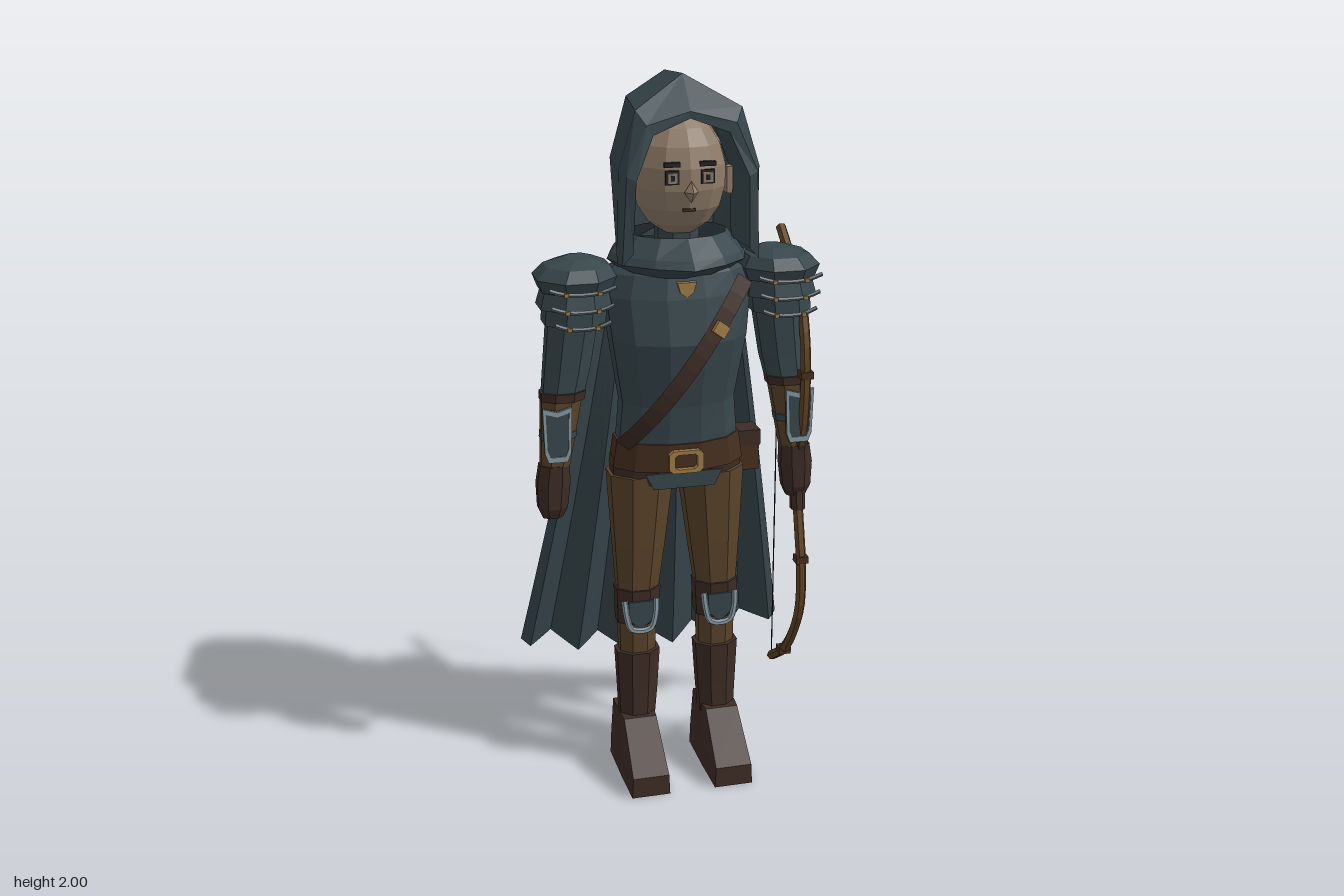
import * as THREE from 'three';

const mat = (name, color, double) => {
  const m = new THREE.MeshStandardMaterial({ color });
  m.name = name;
  if (double) m.side = THREE.DoubleSide;
  return m;
};

export function createModel() {
  const slate = mat('slate cloth', 0x38474c, true);
  const leather = mat('dark leather', 0x3e2c24, true);
  const tan = mat('tan trousers', 0x5a442a);
  const belt = mat('belt leather', 0x48301f);
  const wood = mat('bow wood', 0x614425);
  const skin = mat('skin', 0x907d6a);
  const steel = mat('light steel', 0x8699a2);
  const dullSteel = mat('dull steel', 0x626d72);
  const gold = mat('brass', 0xa07c48);
  const ink = mat('dark detail', 0x202224);

  const root = new THREE.Group();
  // Adds a faceted mesh
  const add = (name, geo, material, x = 0, y = 0, z = 0) => {
    const g = geo.index ? geo.toNonIndexed() : geo;
    g.computeVertexNormals();
    const m = new THREE.Mesh(g, material);
    m.name = name;
    m.position.set(x, y, z);
    root.add(m);
    return m;
  };
  const box = (name, material, w, h, d, x, y, z) => add(name, new THREE.BoxGeometry(w, h, d), material, x, y, z);

  // Skins a list of equal-length point rows
  const skinRows = (rows, closed, caps) => {
    const n = rows[0].length, idx = [];
    for (let i = 0; i < rows.length - 1; i++)
      for (let j = 0; j < (closed ? n : n - 1); j++) {
        const k = (j + 1) % n, a = i * n + j, b = i * n + k;
        idx.push(a, b, b + n, a, b + n, a + n);
      }
    if (caps) {
      const top = (rows.length - 1) * n;
      for (let j = 1; j < n - 1; j++) idx.push(0, j + 1, j, top, top + j, top + j + 1);
    }
    const g = new THREE.BufferGeometry();
    g.setAttribute('position', new THREE.Float32BufferAttribute(rows.flat(2), 3));
    g.setIndex(idx);
    return g;
  };
  // Oval stack: each entry is [y, rx, rz, cx, cz], from bottom to top
  const stack = (list, n = 8) => skinRows(list.map(([y, rx, rz, cx = 0, cz = 0.1]) =>
    Array.from({ length: n }, (_, j) => {
      const a = ((j + 0.5) / n) * Math.PI * 2;
      return [cx + rx * Math.sin(a), y, cz + rz * Math.cos(a)];
    })), true, true);
  const tube = (pts, r, seg = 16, sides = 6) => new THREE.TubeGeometry(
    new THREE.CatmullRomCurve3(pts.map(p => new THREE.Vector3(...p))), seg, r, sides);
  const plate = (pts, depth, hole) => {
    const s = new THREE.Shape(pts.map(p => new THREE.Vector2(...p)));
    if (hole) s.holes.push(new THREE.Path(pts.map(([x, y]) => new THREE.Vector2(x * hole, y * hole))));
    return new THREE.ExtrudeGeometry(s, { depth, bevelEnabled: false });
  };

  // Torso, hips and belt
  add('torso', stack([[0.95, 0.175, 0.098], [1.03, 0.17, 0.103], [1.12, 0.162, 0.11], [1.3, 0.192, 0.13, 0, 0.11],
    [1.42, 0.205, 0.117], [1.48, 0.185, 0.1], [1.54, 0.1, 0.08]], 12), slate);
  add('hips', stack([[0.885, 0.187, 0.092, 0, 0.088], [0.96, 0.187, 0.1, 0, 0.09]], 12), leather);
  add('belt', stack([[0.935, 0.19, 0.11, 0, 0.095], [1.015, 0.178, 0.11, 0, 0.097]], 12), belt);
  add('tunicFlap', plate([[-0.085, 0], [0.085, 0], [0.108, 0.045], [-0.108, 0.045]], 0.008), slate, 0, 0.885, 0.184);
  add('buckle', plate([[-0.048, -0.022], [-0.036, -0.032], [0.036, -0.032], [0.048, -0.022],
    [0.048, 0.022], [0.036, 0.032], [-0.036, 0.032], [-0.048, 0.022]], 0.014, 0.65), gold, 0, 0.968, 0.203);
  box('pouch', belt, 0.062, 0.11, 0.065, 0.213, 0.935, 0.055);
  box('pouchFlap', leather, 0.068, 0.045, 0.072, 0.213, 0.975, 0.055);

  // Shoulder strap across the chest
  const strapRows = [-0.024, 0.024].map(o => Array.from({ length: 13 }, (_, i) => {
    const t = i / 12, x = -0.165 + 0.335 * t, y = 1.01 + 0.45 * t;
    const rx = 0.185 + 0.03 * t, rz = 0.119 + 0.021 * Math.sin(t * Math.PI);
    return [x - o * 0.8, y + o * 0.6, 0.104 + rz * Math.sqrt(1 - (x / rx) ** 2)];
  }));
  add('chestStrap', skinRows(strapRows, false), leather);
  const clasp = box('strapClasp', gold, 0.034, 0.044, 0.01, 0.088, 1.338, 0.232);
  clasp.rotation.set(0, 0.3, 0.93);
  add('brooch', plate([[0, -0.025], [0.018, -0.012], [0.026, 0.016], [-0.026, 0.016], [-0.018, -0.012]], 0.015),
    gold, 0, 1.45, 0.2);

  // Head and face
  const head = add('head', new THREE.SphereGeometry(1, 12, 9), skin, 0, 1.74, 0.12);
  head.scale.set(0.128, 0.163, 0.127);
  add('neck', stack([[1.48, 0.06, 0.06], [1.62, 0.06, 0.06]]), slate);
  const nose = add('nose', new THREE.OctahedronGeometry(0.021), skin, 0, 1.712, 0.252);
  nose.scale.set(0.9, 1.35, 1.2);
  for (const s of [-1, 1]) {
    box('eyeRim', ink, 0.036, 0.036, 0.008, s * 0.047, 1.748, 0.236);
    box('eye', skin, 0.026, 0.026, 0.008, s * 0.047, 1.747, 0.239);
    box('pupil', ink, 0.01, 0.014, 0.008, s * 0.047, 1.747, 0.241);
    box('brow', ink, 0.042, 0.012, 0.012, s * 0.047, 1.781, 0.236);
    box('ear', skin, 0.016, 0.07, 0.03, s * 0.13, 1.72, 0.14);
  }
  box('mouth', leather, 0.034, 0.007, 0.008, 0, 1.662, 0.229);

  // Hood: half outlines mirrored about the middle, from back to front rim
  const arch = half => [...half, ...half.slice(0, -1).reverse().map(([x, y, z]) => [-x, y, z])];
  const hoodRows = [
    [[0.135, 1.54, -0.03], [0.15, 1.76, -0.03], [0.105, 1.92, -0.03], [0, 1.985, -0.03]],
    [[0.188, 1.53, 0.22], [0.186, 1.77, 0.23], [0.14, 1.92, 0.225], [0, 2, 0.16]],
    [[0.182, 1.53, 0.255], [0.172, 1.76, 0.265], [0.118, 1.885, 0.255], [0, 1.915, 0.24]],
    [[0.155, 1.56, 0.26], [0.148, 1.75, 0.272], [0.1, 1.86, 0.255], [0, 1.897, 0.24]],
    [[0.145, 1.56, 0.12], [0.138, 1.75, 0.12], [0.095, 1.86, 0.12], [0, 1.9, 0.12]],
  ].map(arch);
  add('hood', skinRows(hoodRows, false), slate);
  add('hoodBack', new THREE.ShapeGeometry(new THREE.Shape(hoodRows[0].map(p => new THREE.Vector2(p[0], p[1])))),
    slate, 0, 0, -0.03);

  // Cowl gathered round the neck, pointed at the front and back
  const cowlRing = (y, rx, front, back, tip, tail) => Array.from({ length: 12 }, (_, j) => {
    const a = (j / 12) * Math.PI * 2, c = Math.cos(a);
    return [rx * Math.sin(a), y, 0.1 + c * (c > 0 ? front : back) + (j === 0 ? tip : 0) - (j === 6 ? tail : 0)];
  });
  add('cowl', skinRows([cowlRing(1.47, 0.13, 0.09, 0.13, 0, 0.01), cowlRing(1.515, 0.19, 0.17, 0.155, 0.027, 0.035),
    cowlRing(1.535, 0.18, 0.16, 0.145, 0.015, 0.03), cowlRing(1.585, 0.135, 0.12, 0.1, 0, 0)], true), slate);

  // Pleated cape with sharp folds and a ragged hem
  const capeRows = Array.from({ length: 10 }, (_, i) => {
    const t = Math.max(0, (i - 1) / 8);
    return Array.from({ length: 33 }, (_, j) => {
      const u = j / 16 - 1, fold = Math.asin(Math.cos(u * Math.PI * 16 / 3)) / (Math.PI / 2);
      const hem = 0.222 + 0.07 * u * u + 0.018 * fold;
      if (i === 0) return [u * 0.15, 1.53 - 0.03 * u * u, 0.01 + 0.07 * u * u];
      return [u * (0.19 + 0.21 * t), 1.49 + (hem - 1.49) * t - 0.02 * u * u * (1 - t),
        -0.037 - 0.228 * t ** 1.35 + u * u * 0.045 * (1 - t) + Math.abs(u) * 0.045 * t - fold * (0.007 + 0.025 * t)];
    });
  });
  add('cape', skinRows(capeRows, false), slate);

  for (const s of [-1, 1]) {
    // Legs and boots
    add('trouserLeg', stack([[0.36, 0.055, 0.045, s * 0.115, 0.1], [0.52, 0.058, 0.05, s * 0.115, 0.1],
      [0.7, 0.077, 0.067, s * 0.108, 0.095], [0.91, 0.097, 0.087, s * 0.1, 0.085]]), tan);
    add('kneeBand', stack([[0.465, 0.063, 0.055, s * 0.115], [0.57, 0.068, 0.06, s * 0.113]]), leather);
    add('kneePlate', plate([[-0.035, 0.04], [-0.035, -0.015], [0, -0.045], [0.035, -0.015], [0.035, 0.04]], 0.008),
      slate, s * 0.115, 0.5, 0.152);
    add('kneeTrim', tube([[-0.046, 0.045, -0.004], [-0.042, 0, 0.004], [-0.027, -0.043, 0.006], [0.027, -0.043, 0.006],
      [0.042, 0, 0.004], [0.046, 0.045, -0.004]], 0.009), steel, s * 0.115, 0.5, 0.155);
    add('bootShaft', stack([[0.15, 0.053, 0.05, s * 0.118, 0.105], [0.25, 0.06, 0.048, s * 0.116, 0.105],
      [0.375, 0.067, 0.056, s * 0.115, 0.102]]), leather);
    const foot = (y, wi, zb, zf, wf) => [[-wf, y, zf], [wf, y, zf], [wi, y, 0.17], [wi, y, zb], [-wi, y, zb], [-wi, y, 0.17]]
      .map(([x, yy, z]) => [x + s * 0.121, yy, z]);
    const footRows = [foot(0, 0.058, 0.025, 0.297, 0.055), foot(0.06, 0.056, 0.026, 0.297, 0.052),
      foot(0.18, 0.05, 0.032, 0.165, 0.047)];
    footRows[2][2][2] = footRows[2][5][2] = 0.13;
    add('boot', skinRows(footRows, true, true), leather);

    // Arms, bands and gloves
    add('upperArm', stack([[1.14, 0.06, 0.047, s * 0.317, 0.095], [1.22, 0.067, 0.052, s * 0.303, 0.092],
      [1.44, 0.077, 0.062, s * 0.275, 0.095]]), slate);
    add('forearm', stack([[0.93, 0.041, 0.037, s * 0.343], [1.16, 0.061, 0.048, s * 0.318, 0.096]]), tan);
    add('armBand', stack([[1.138, 0.064, 0.05, s * 0.318], [1.162, 0.066, 0.051, s * 0.316]]), leather);
    add('bracerStrap', stack([[1.03, 0.052, 0.046, s * 0.332], [1.05, 0.053, 0.047, s * 0.33]]), slate);
    add('glove', stack([[0.8, 0.03, 0.024, s * 0.35], [0.83, 0.044, 0.036, s * 0.35], [0.9, 0.05, 0.038, s * 0.347],
      [0.955, 0.044, 0.04, s * 0.343]]), leather);
    const shield = [[-0.026, -0.076], [0.026, -0.076], [0.036, -0.05], [0.04, 0.078], [0, 0.066], [-0.04, 0.078], [-0.036, -0.05]];
    add('bracerPlate', plate(shield, 0.008), slate, s * 0.34, 1.05, 0.142);
    add('bracerTrim', plate(shield, 0.012, 0.8), steel, s * 0.34, 1.05, 0.141);

    // Layered shoulder guards with front trim rods
    const cx = s * 0.28, cz = 0.11;
    add('shoulderCap', stack([[1.445, 0.1, 0.102, cx, cz], [1.48, 0.114, 0.117, cx, cz], [1.51, 0.09, 0.092, cx - s * 0.006, cz],
      [1.528, 0.04, 0.045, cx - s * 0.012, cz]]), slate);
    add('shoulderLayer', stack([[1.4, 0.103, 0.105, cx + s * 0.003, cz], [1.455, 0.09, 0.09, cx, cz]]), slate);
    add('shoulderLayer', stack([[1.355, 0.088, 0.09, cx + s * 0.005, cz], [1.41, 0.088, 0.09, cx, cz]]), slate);
    [[1.462, 0.088], [1.415, 0.083], [1.37, 0.075]].forEach(([y, w]) => {
      add('shoulderTrim', tube([[-w, 0.008, 0], [-w * 0.5, -0.006, 0], [w * 0.5, -0.006, 0], [w, 0.008, 0]], 0.006, 8, 5),
        dullSteel, cx, y, 0.224);
      for (const e of [-0.5, 0.5]) box('trimRivet', gold, 0.012, 0.01, 0.008, cx + e * w, y - 0.006, 0.231);
    });
  }

  // Recurve bow held in the left hand
  const bx = 0.354;
  add('bow', tube([[bx, 1.53, -0.093], [bx, 1.47, -0.01], [bx, 1.41, 0.075], [bx, 1.29, 0.135], [bx, 1.17, 0.155],
    [bx, 1.02, 0.145], [bx, 0.86, 0.1], [bx, 0.74, 0.125], [bx, 0.62, 0.155], [bx, 0.48, 0.16], [bx, 0.36, 0.1],
    [bx, 0.27, 0.02], [bx, 0.195, -0.09]], 0.015, 36), wood);
  add('bowGrip', stack([[0.76, 0.022, 0.022, bx, 0.115], [0.86, 0.023, 0.022, bx, 0.1], [0.97, 0.022, 0.022, bx, 0.122]]), leather);
  for (const [y, z] of [[1.43, 0.045], [1.17, 0.155], [0.62, 0.155], [0.27, 0.02]])
    box('bowBinding', belt, 0.036, 0.02, 0.034, bx, y, z);
  add('bowString', new THREE.CylinderGeometry(0.002, 0.002, 1.33, 5), ink, bx, 0.862, -0.094);

  return root;
}
